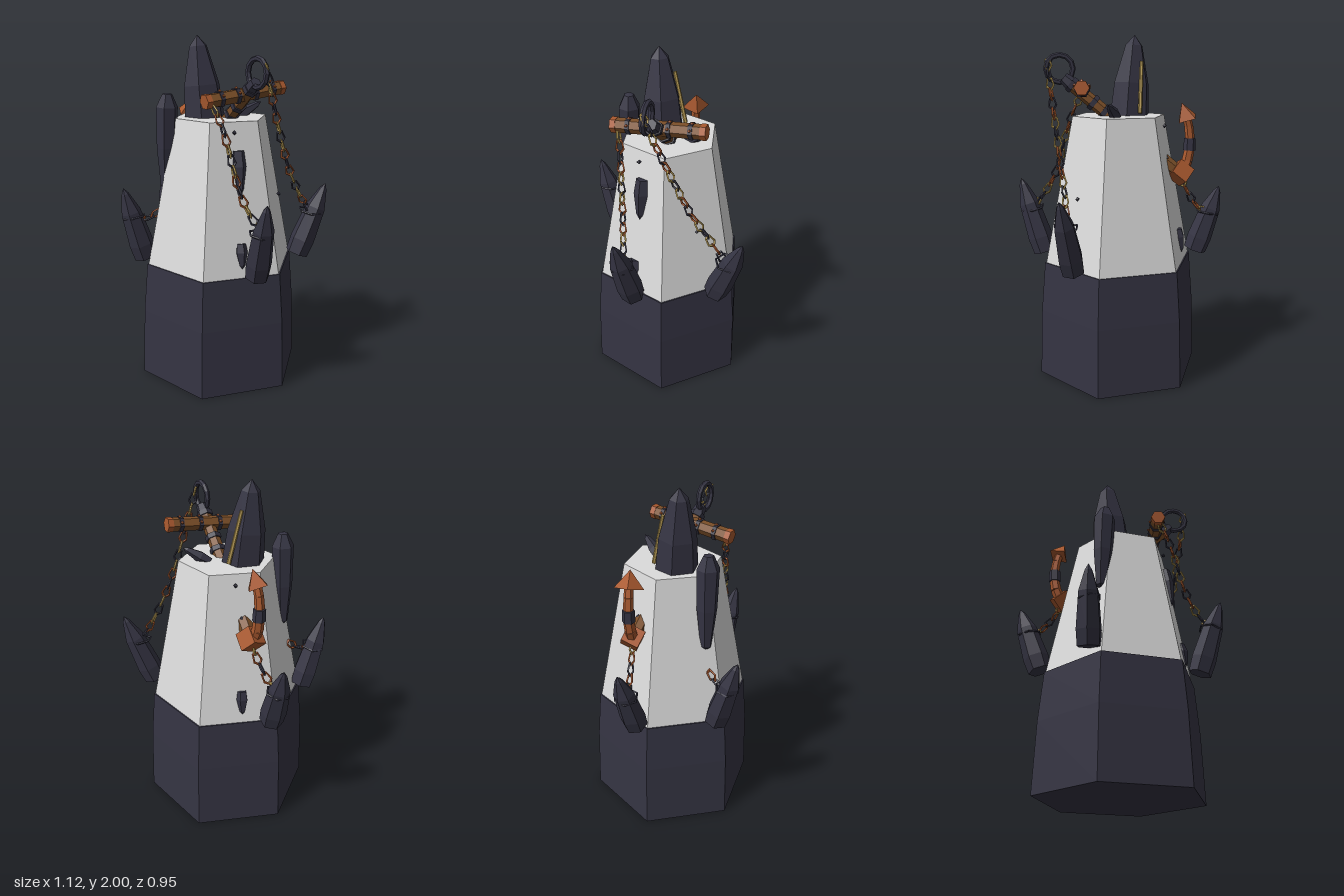
import * as THREE from 'three';

const mat = (name, color) => {
  const m = new THREE.MeshStandardMaterial({ color, flatShading: true });
  m.name = name;
  return m;
};
const V = (a) => new THREE.Vector3(...a);
const UP = new THREE.Vector3(0, 1, 0);

export function createModel() {
  const root = new THREE.Group();
  const stone = mat('pale stone', 0xdcdcdc);
  const dark = mat('dark slate', 0x353443);
  const wood = mat('brown wood', 0x7d5029);
  const rust = mat('rust orange', 0xa9592f);
  const gold = mat('old gold', 0xb89c55);

  const add = (name, geo, material, parent = root) => {
    const m = new THREE.Mesh(geo, material);
    m.name = name;
    parent.add(m);
    return m;
  };
  // Places a mesh whose axis is +y at point a, aimed at b
  const aim = (mesh, a, b) => {
    mesh.position.copy(a);
    mesh.quaternion.setFromUnitVectors(UP, b.clone().sub(a).normalize());
    return mesh;
  };
  // Six-sided rod from a to b
  const rod = (name, a, b, r0, r1, material, parent) => {
    const len = a.distanceTo(b);
    const geo = new THREE.CylinderGeometry(r1, r0, len, 6).translate(0, len / 2, 0);
    return aim(add(name, geo, material, parent), a, b);
  };
  // Faceted crystal; profile holds [radius, share of length]
  const crystal = (name, from, to, r, profile, sides = 6, turn = 0) => {
    const a = V(from), b = V(to), len = a.distanceTo(b);
    const pts = profile.map(([x, y]) => new THREE.Vector2(x * r, y * len));
    return aim(add(name, new THREE.LatheGeometry(pts, sides, turn), dark), a, b);
  };

  // Tower: dark skirt with a pale tapered block above
  const turn = Math.PI / 12;
  const skirt = [[0, 0], [0.492, 0], [0.478, 0.4], [0.453, 0.69], [0, 0.69]];
  add('towerBase', new THREE.LatheGeometry(skirt.map((p) => new THREE.Vector2(...p)), 6, turn), dark);
  add('towerTop', new THREE.CylinderGeometry(0.276, 0.447, 0.865, 6, 1, false, turn)
    .translate(0, 1.1125, 0), stone);

  // Large crystal on the roof, with a gold strip up its back
  crystal('roofCrystal', [-0.085, 1.5, 0.025], [-0.13, 2.0, 0.04], 0.125,
    [[0, 0], [1, 0], [0.86, 0.45], [0.42, 0.88], [0, 1]], 6, 0.35);
  const s0 = V([-0.08, 1.56, -0.1]), s1 = V([-0.125, 1.85, -0.045]);
  rod('goldStrip', s0, s1, 0.012, 0.01, gold);

  // Four spikes leaning out around the skirt
  const spike = [[0, 0], [0.92, 0], [1, 0.2], [0.8, 0.66], [0.3, 0.92], [0, 1]];
  [
    [[0.365, 0.715, 0.27], [0.465, 1.16, 0.375], 0.2],
    [[0.415, 0.72, -0.2], [0.545, 1.145, -0.305], 0.6],
    [[-0.365, 0.72, 0.27], [-0.435, 1.15, 0.375], 0.4],
    [[-0.435, 0.72, -0.18], [-0.55, 1.115, -0.255], 0],
  ].forEach(([a, b, t]) => crystal('spike', a, b, 0.074, spike, 6, t));

  // Tall blunt crystal buried in the front corner wall
  crystal('wallCrystal', [-0.255, 1.12, 0.2], [-0.235, 1.685, 0.2], 0.064,
    [[0, 0], [0.5, 0.05], [0.9, 0.45], [1, 0.86], [0.45, 0.99], [0, 1]], 6, 0.3);

  // Shards stuck in the walls and roof
  const shard = [[0, 0], [0.8, 0], [1, 0.35], [0.5, 0.85], [0, 1]];
  [
    [[0.2, 1.39, 0.18], [0.228, 1.14, 0.205], 0.043],
    [[0.25, 0.88, 0.24], [0.272, 0.74, 0.262], 0.036],
    [[-0.265, 0.88, -0.23], [-0.285, 0.74, -0.25], 0.036],
    [[0.06, 1.535, -0.085], [0.175, 1.62, -0.175], 0.034],
  ].forEach(([a, b, r]) => crystal('shard', a, b, r, shard, 5));
  [[0.185, 1.49, 0.195], [-0.19, 1.49, -0.19], [0.33, 1.1, -0.1], [-0.22, 1.3, -0.175]].forEach((p) =>
    add('chip', new THREE.OctahedronGeometry(0.014), dark).position.set(...p));

  // Anchor driven through the tower
  const anchor = new THREE.Group();
  anchor.name = 'anchor';
  root.add(anchor);
  const crown = V([-0.3, 1.2, -0.2]), head = V([0.25, 1.725, 0.12]);
  const along = (a, b, t) => a.clone().lerp(b, t);
  rod('shank', crown, head, 0.042, 0.036, wood, anchor);
  [0.68, 0.78, 0.97].forEach((t) =>
    rod('shankBand', along(crown, head, t), along(crown, head, t + 0.035), 0.046, 0.046, dark, anchor));
  rod('shankCap', head, V([0.285, 1.76, 0.14]), 0.04, 0.032, dark, anchor);

  // Crossbar with rust ends, dark bands and rivets
  const b0 = V([0.07, 1.662, 0.315]), b1 = V([0.315, 1.712, -0.135]);
  rod('crossbar', b0, b1, 0.04, 0.04, wood, anchor);
  rod('crossbarEnd', along(b0, b1, -0.012), along(b0, b1, 0.05), 0.043, 0.043, rust, anchor);
  rod('crossbarEnd', along(b0, b1, 0.95), along(b0, b1, 1.012), 0.043, 0.043, rust, anchor);
  [0.16, 0.37, 0.6, 0.83].forEach((t) => {
    rod('crossbarBand', along(b0, b1, t), along(b0, b1, t + 0.045), 0.046, 0.046, dark, anchor);
    const p = along(b0, b1, t + 0.022);
    [[0, 0.043, 0], [-0.035, 0.02, -0.02], [0.035, 0.02, 0.02]].forEach((o) =>
      add('rivet', new THREE.OctahedronGeometry(0.011), rust, anchor).position.copy(p).add(V(o)));
  });

  // Shackle ring
  const ring = add('ring', new THREE.TorusGeometry(0.077, 0.016, 6, 12), dark, anchor);
  ring.position.set(0.3, 1.81, 0.16);
  ring.rotation.y = -0.45;

  // Crown block, curved arm and barbed tip
  const block = add('crownBlock', new THREE.BoxGeometry(0.1, 0.1, 0.1), rust, anchor);
  aim(block, V([-0.3, 1.21, -0.2]), V([0.25, 1.725, 0.12]));
  const arm = [[-0.31, 1.2, -0.2], [-0.345, 1.28, -0.205], [-0.355, 1.34, -0.21],
    [-0.358, 1.41, -0.21], [-0.35, 1.48, -0.208], [-0.33, 1.55, -0.205]].map(V);
  const armMats = [rust, rust, dark, rust, rust];
  armMats.forEach((m, i) => {
    const r = m === dark ? 0.036 : 0.034 - i * 0.002;
    rod('arm', arm[i], arm[i + 1], r, r - 0.002, m, anchor);
  });
  const barb = add('barb', new THREE.ConeGeometry(0.085, 0.1, 4).scale(0.75, 1, 0.95)
    .translate(0, 0.05, 0), rust, anchor);
  aim(barb, V([-0.34, 1.525, -0.205]), V([-0.3, 1.62, -0.2]));

  // Chains: flat five-sided links, each turned a quarter from the last
  const tints = [gold, rust, dark, rust, gold, dark];
  const chain = (points, shift) => {
    const group = new THREE.Group();
    group.name = 'chain';
    root.add(group);
    const curve = new THREE.CatmullRomCurve3(points.map(V));
    const n = Math.round(curve.getLength() / 0.056);
    for (let i = 0; i < n; i++) {
      const p = curve.getPointAt((i + 0.5) / n), d = curve.getTangentAt((i + 0.5) / n);
      const geo = new THREE.TorusGeometry(0.024, 0.0065, 4, 5).rotateZ(Math.PI / 2)
        .scale(0.95, 1.5, 1).rotateY(0.5 + (i % 2) * Math.PI / 2);
      aim(add('link', geo, tints[(i + shift) % 6], group), p, p.clone().add(d));
    }
  };
  chain([[0.1, 1.64, 0.29], [0.15, 1.55, 0.29], [0.21, 1.38, 0.295], [0.265, 1.2, 0.3],
    [0.34, 1.07, 0.31], [0.42, 0.99, 0.32]], 0);
  chain([[0.36, 1.86, 0.19], [0.37, 1.72, 0.14], [0.385, 1.5, 0.05], [0.405, 1.28, -0.05],
    [0.435, 1.1, -0.16], [0.47, 0.99, -0.23]], 4);
  chain([[-0.3, 1.18, -0.2], [-0.36, 1.08, -0.205], [-0.42, 1.0, -0.21], [-0.49, 0.96, -0.22]], 0);
  chain([[-0.29, 1.0, 0.22], [-0.34, 0.96, 0.27], [-0.4, 0.96, 0.32]], 1);

  // Links wrapped round the spikes
  [[0.41, 0.98, 0.33], [0.475, 0.98, -0.245], [-0.4, 0.97, 0.325], [-0.495, 0.95, -0.22]].forEach((p) => {
    const wrap = add('spikeWrap', new THREE.TorusGeometry(0.066, 0.006, 4, 6).rotateX(Math.PI / 2), dark);
    wrap.position.set(...p);
    wrap.rotation.z = -0.2 * Math.sign(p[0]);
  });

  return root;
}
